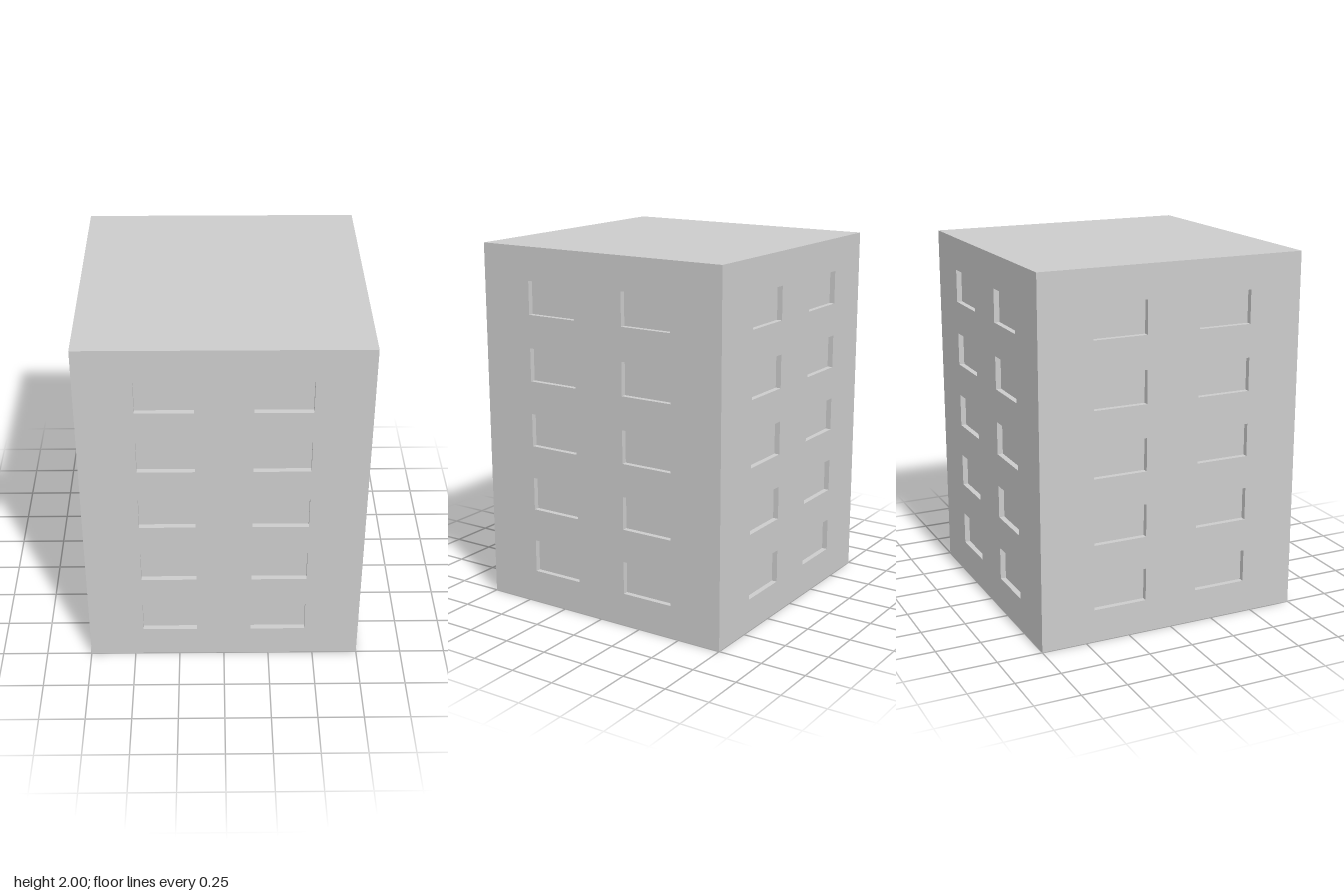
import * as THREE from 'three';
import { mergeGeometries } from 'three/addons/utils/BufferGeometryUtils.js';

const HALF = 0.75, HEIGHT = 2, FLOORS = 5;
const STRIP = HEIGHT / (2 * FLOORS + 1); // windows and wall bands share one height
const WIN_W = 0.3, WIN_H = STRIP, DEPTH = 0.03;

const material = new THREE.MeshStandardMaterial({ color: 0xcccccc, flatShading: true });

function rect(path, x0, y0, x1, y1) {
  return path.moveTo(x0, y0).lineTo(x1, y0).lineTo(x1, y1).lineTo(x0, y1).closePath();
}

// Window centres on one facade
function windowCentres() {
  const list = [];
  for (let floor = 0; floor < FLOORS; floor++)
    for (const x of [-WIN_W, WIN_W]) list.push([x, STRIP * (2 * floor + 1.5)]);
  return list;
}

// Flat wall with window openings
function wallGeometry() {
  const shape = rect(new THREE.Shape(), -HALF, 0, HALF, HEIGHT);
  for (const [x, y] of windowCentres())
    shape.holes.push(rect(new THREE.Path(), x - WIN_W / 2, y - WIN_H / 2, x + WIN_W / 2, y + WIN_H / 2));
  return new THREE.ShapeGeometry(shape).translate(0, 0, HALF);
}

// Recessed pane with its sill, head and two jambs, facing inwards to the opening
function windowGeometry(x, y) {
  const parts = [new THREE.PlaneGeometry(WIN_W, WIN_H).translate(0, 0, -DEPTH)];
  for (const s of [-1, 1]) {
    parts.push(
      new THREE.PlaneGeometry(WIN_W, DEPTH).rotateX(s * Math.PI / 2).translate(0, s * WIN_H / 2, -DEPTH / 2),
      new THREE.PlaneGeometry(DEPTH, WIN_H).rotateY(-s * Math.PI / 2).translate(s * WIN_W / 2, 0, -DEPTH / 2));
  }
  return mergeGeometries(parts).translate(x, y, HALF);
}

export function createModel() {
  const model = new THREE.Group();
  model.name = 'apartmentBlock';
  const add = (parent, name, geometry) => {
    const mesh = new THREE.Mesh(geometry, material);
    mesh.name = name;
    parent.add(mesh);
  };

  // Four identical facades
  const wall = wallGeometry();
  const windows = mergeGeometries(windowCentres().map(([x, y]) => windowGeometry(x, y)));
  ['front', 'left', 'back', 'right'].forEach((side, i) => {
    const facade = new THREE.Group();
    facade.name = side + 'Facade';
    facade.rotation.y = i * Math.PI / 2;
    add(facade, side + 'Wall', wall);
    add(facade, side + 'Windows', windows);
    model.add(facade);
  });

  // Roof and underside
  const slab = () => new THREE.PlaneGeometry(2 * HALF, 2 * HALF);
  add(model, 'roof', slab().rotateX(-Math.PI / 2).translate(0, HEIGHT, 0));
  add(model, 'base', slab().rotateX(Math.PI / 2));
  return model;
}
